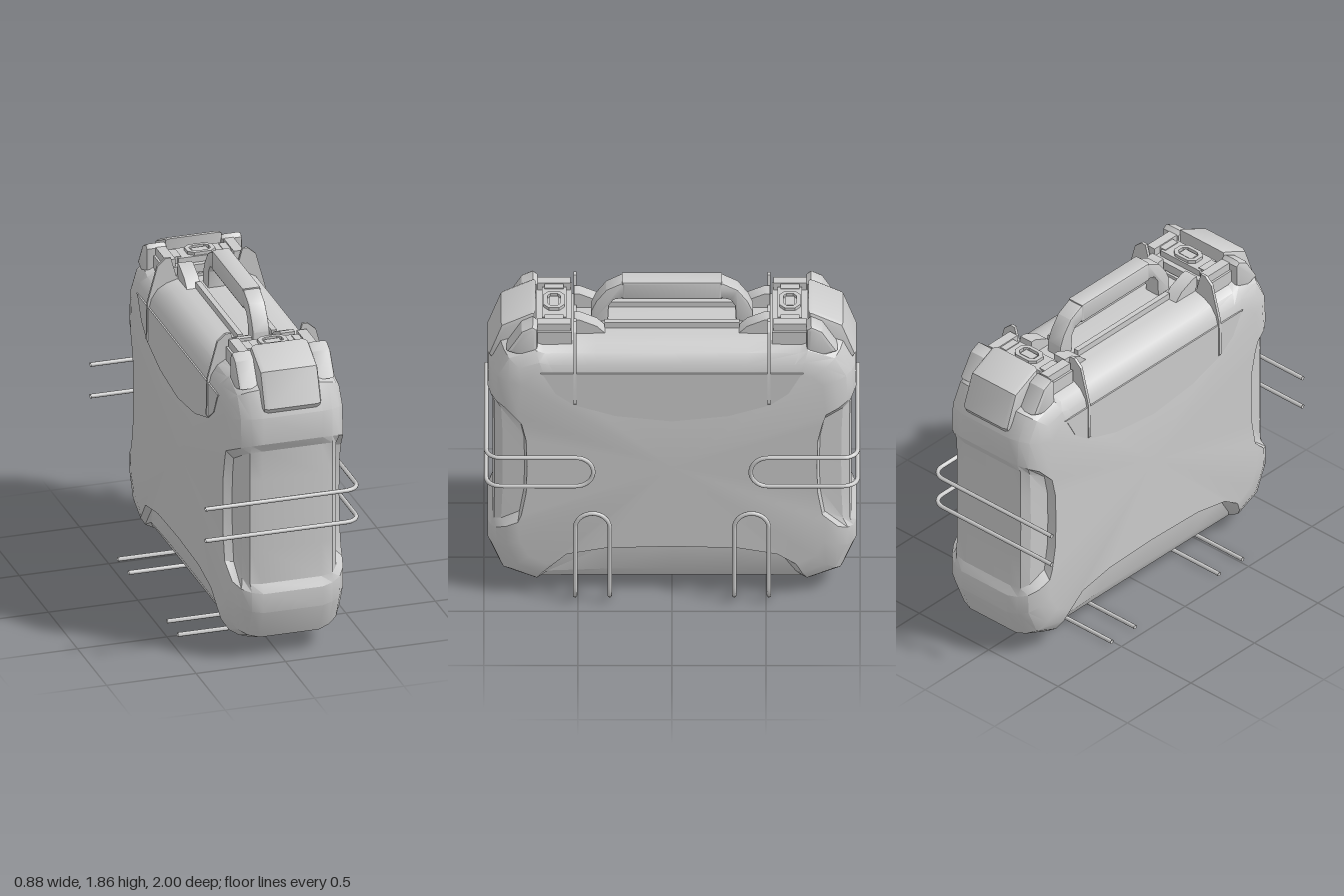
import * as THREE from 'three';
import { toCreasedNormals } from 'three/addons/utils/BufferGeometryUtils.js';

const CX = 0.05; // middle of the case in x
const material = new THREE.MeshStandardMaterial({ color: 0xcccccc, side: THREE.DoubleSide });

function add(parent, name, geometry, crease = 0.5) {
  const mesh = new THREE.Mesh(toCreasedNormals(geometry, crease), material);
  mesh.name = name;
  parent.add(mesh);
  return mesh;
}

// Side profile of (z, y) points, given thickness along x between x0 and x1
function slab(points, x0, x1, bevel = 0) {
  const shape = new THREE.Shape(points.map(([z, y]) => new THREE.Vector2(z, y)));
  const g = new THREE.ExtrudeGeometry(shape, {
    depth: x1 - x0 - 2 * bevel, bevelEnabled: bevel > 0, bevelSegments: 2,
    bevelSize: bevel, bevelThickness: bevel, bevelOffset: -bevel,
  });
  g.rotateY(-Math.PI / 2);
  g.translate(CX + x1 - bevel, 0, 0);
  return g;
}

function box(w, h, d, x, y, z) {
  return new THREE.BoxGeometry(w, h, d).translate(CX + x, y, z);
}

// Shell: each entry is [z, y] on the rim, [z, y] on the side face, recessed?
const outline = [
  [0, 0.07, 0, 0.335, 1], [0.35, 0.07, 0.35, 0.325, 1], [0.70, 0.07, 0.56, 0.285, 1],
  [0.74, 0.05, 0.66, 0.22, 0], [0.91, 0.12, 0.76, 0.27, 0], [0.98, 0.29, 0.81, 0.37, 0],
  [0.98, 0.40, 0.82, 0.49, 0], [0.955, 0.45, 0.80, 0.54, 1], [0.955, 0.65, 0.775, 0.68, 1],
  [0.955, 0.85, 0.77, 0.85, 1], [0.955, 1.05, 0.775, 1.02, 1], [0.955, 1.22, 0.80, 1.13, 1],
  [0.98, 1.27, 0.82, 1.19, 0], [0.975, 1.42, 0.80, 1.38, 0], [0.91, 1.56, 0.75, 1.43, 0],
  [0.74, 1.62, 0.68, 1.45, 0], [0.70, 1.60, 0.62, 1.44, 0], [0.4, 1.605, 0.4, 1.44, 0],
  [0, 1.605, 0, 1.44, 0],
];
// Steps from rim to side face: [half width, share of the inset]
const rounded = [[0.165, 0], [0.225, 0.10], [0.275, 0.28], [0.31, 0.6], [0.325, 1]];
const recessed = [[0.165, 0], [0.23, 0.06], [0.262, 0.3], [0.278, 0.93], [0.325, 1]];

function shellGeometry() {
  const loop = outline.concat(outline.slice(1, -1).reverse().map(([a, b, c, d, r]) => [-a, b, -c, d, r]));
  const n = loop.length, steps = rounded.length, pos = [], idx = [];
  for (let j = 0; j < steps * 2; j++) {
    const side = j < steps ? -1 : 1;
    const k = j < steps ? steps - 1 - j : j - steps;
    for (const [z0, y0, z1, y1, r] of loop) {
      const [half, t] = (r ? recessed : rounded)[k];
      pos.push(CX + side * half, y0 + (y1 - y0) * t, z0 + (z1 - z0) * t);
    }
  }
  const last = (steps * 2 - 1) * n, c0 = steps * 2 * n;
  pos.push(CX - 0.325, 0.85, 0, CX + 0.325, 0.85, 0);
  for (let i = 0; i < n; i++) {
    const i2 = (i + 1) % n;
    for (let a = 0; a < last; a += n) {
      idx.push(a + i, a + n + i, a + i2, a + i2, a + n + i, a + n + i2);
    }
    idx.push(c0, i, i2, c0 + 1, last + i2, last + i);
  }
  const g = new THREE.BufferGeometry();
  g.setAttribute('position', new THREE.Float32BufferAttribute(pos, 3));
  g.setIndex(idx);
  return g;
}

// Bent wire loop; place(u, v) maps distance from the rim and offset to [y, z]
function wireGeometry(place) {
  const h = 0.092, r = 0.08, tip = 0.57, X = 0.422, half = [[-0.445, 0, h]];
  for (let i = 0; i <= 8; i++) {
    const a = (i / 8) * Math.PI / 2;
    half.push([X - r + r * Math.sin(a), r - r * Math.cos(a), h]);
  }
  for (let i = 0; i <= 8; i++) {
    const a = (i / 8) * Math.PI / 2;
    half.push([X, tip - h + h * Math.sin(a), h * Math.cos(a)]);
  }
  const all = half.concat(half.slice(0, -1).reverse().map(([x, u, v]) => [x, u, -v]));
  const pts = all.map(([x, u, v]) => new THREE.Vector3(x, ...place(u, v)));
  const path = new THREE.CurvePath();
  for (let i = 1; i < pts.length; i++) path.add(new THREE.LineCurve3(pts[i - 1], pts[i]));
  const g = new THREE.TubeGeometry(path, 160, 0.012, 10);
  return g;
}

export function createModel() {
  const model = new THREE.Group();
  model.name = 'hardCase';
  add(model, 'shell', shellGeometry(), 0.45);

  // Thin lid panels with a curved lower edge on both faces
  const lower = [[0.70, 1.46], [0.68, 1.44], [0.62, 1.33], [0.52, 1.255], [0.3, 1.185], [0, 1.15]];
  const panel = lower.concat(lower.slice(0, -1).reverse().map(([z, y]) => [-z, y]));
  add(model, 'lidPanelLeft', slab(panel, 0.31, 0.329));
  add(model, 'lidPanelRight', slab(panel, -0.329, -0.31));

  // Ribs that wrap over the lid beside each latch
  const ribHalf = [[0.32, 1.25], [0.336, 1.27], [0.332, 1.48], [0.275, 1.69], [0.23, 1.73]];
  const ribShape = new THREE.Shape();
  ribHalf.forEach(([x, y], i) => (i ? ribShape.lineTo(x, y) : ribShape.moveTo(x, y)));
  for (const [x, y] of [[0.20, 1.73], [0.17, 1.62], [-0.17, 1.62], [-0.20, 1.73]]) ribShape.lineTo(x, y);
  [...ribHalf].reverse().forEach(([x, y]) => ribShape.lineTo(-x, y));

  for (const s of [1, -1]) {
    const end = new THREE.Group();
    end.name = s > 0 ? 'frontEnd' : 'backEnd';
    model.add(end);
    const flip = (pts) => pts.map(([z, y]) => [z * s, y]);

    const rib = new THREE.ExtrudeGeometry(ribShape, { depth: 0.016, bevelEnabled: false });
    add(end, 'lidRib', rib.translate(CX, 0, s * 0.515 - 0.008));

    // Raised guard over the top corner
    const guard = [[0.725, 1.55], [0.725, 1.74], [0.75, 1.738], [0.91, 1.66], [0.98, 1.47], [0.95, 1.42], [0.85, 1.42]];
    add(end, 'cornerGuard', slab(flip(guard), -0.165, 0.165, 0.03), 0.6);
    for (const m of [1, -1]) {
      const wing = [[0.715, 1.50], [0.715, 1.70], [0.74, 1.72], [0.80, 1.69], [0.88, 1.56]];
      const g = slab(flip(wing), m > 0 ? 0.15 : -0.27, m > 0 ? 0.27 : -0.15, 0.02);
      add(end, 'guardWing', g);
    }

    // Latch with cheeks and a push button
    const z = s * 0.627;
    add(end, 'latchBase', box(0.46, 0.12, 0.19, 0, 1.60, z));
    add(end, 'latchPlate', box(0.28, 0.04, 0.13, 0, 1.675, z));
    for (const m of [1, -1]) {
      add(end, 'latchCheek', box(0.055, 0.12, 0.175, m * 0.19, 1.645, z));
      add(end, 'latchShoulder', box(0.04, 0.10, 0.10, m * 0.14, 1.65, z));
    }
    const hex = (w, d) => [[-w, -d * 0.5], [-w * 0.6, -d], [w * 0.6, -d], [w, -d * 0.5],
      [w, d * 0.5], [w * 0.6, d], [-w * 0.6, d], [-w, d * 0.5]].map((p) => new THREE.Vector2(...p));
    const ring = new THREE.Shape(hex(0.078, 0.055));
    ring.holes.push(new THREE.Path(hex(0.055, 0.035)));
    const frame = new THREE.ExtrudeGeometry(ring, { depth: 0.02, bevelEnabled: false });
    add(end, 'buttonFrame', frame.rotateX(-Math.PI / 2).translate(CX, 1.693, z));
    add(end, 'button', box(0.085, 0.02, 0.05, 0, 1.695, z));

    // Sloped blocks on both sides of the handle foot
    const ramp = [[0.52, 1.58], [0.52, 1.69], [0.49, 1.69], [0.40, 1.65], [0.34, 1.59]];
    add(end, 'handleBlock', slab(flip(ramp), 0.08, 0.16));
    add(end, 'handleBlock', slab(flip(ramp), -0.16, -0.08));

    // Wire loops: one around the end, one under the bottom
    add(model, 'endWire', wireGeometry((u, v) => [0.852 + v, s * (0.988 - u)]), 1);
    add(model, 'bottomWire', wireGeometry((u, v) => [0.012 + u, s * 0.423 + v]), 1);
  }

  // Tray rails below the handle
  add(model, 'trayRail', box(0.03, 0.08, 0.72, 0.095, 1.60, 0));
  add(model, 'trayRail', box(0.03, 0.08, 0.72, -0.095, 1.60, 0));

  // Carrying handle with a slightly thicker grip
  const outer = [[0.43, 1.60], [0.43, 1.67], [0.405, 1.73], [0.35, 1.805], [0.265, 1.85]];
  const inner = [[0.265, 1.75], [0.31, 1.74], [0.335, 1.70], [0.34, 1.60]];
  const mirror = (p) => [...p].reverse().map(([z, y]) => [-z, y]);
  add(model, 'handle', slab([...outer, ...mirror(outer), ...mirror(inner), ...inner], -0.048, 0.048, 0.01));
  const grip = [[0.265, 1.745], [0.265, 1.857], [-0.265, 1.857], [-0.265, 1.745]];
  add(model, 'grip', slab(grip, -0.052, 0.052, 0.012));

  return model;
}
